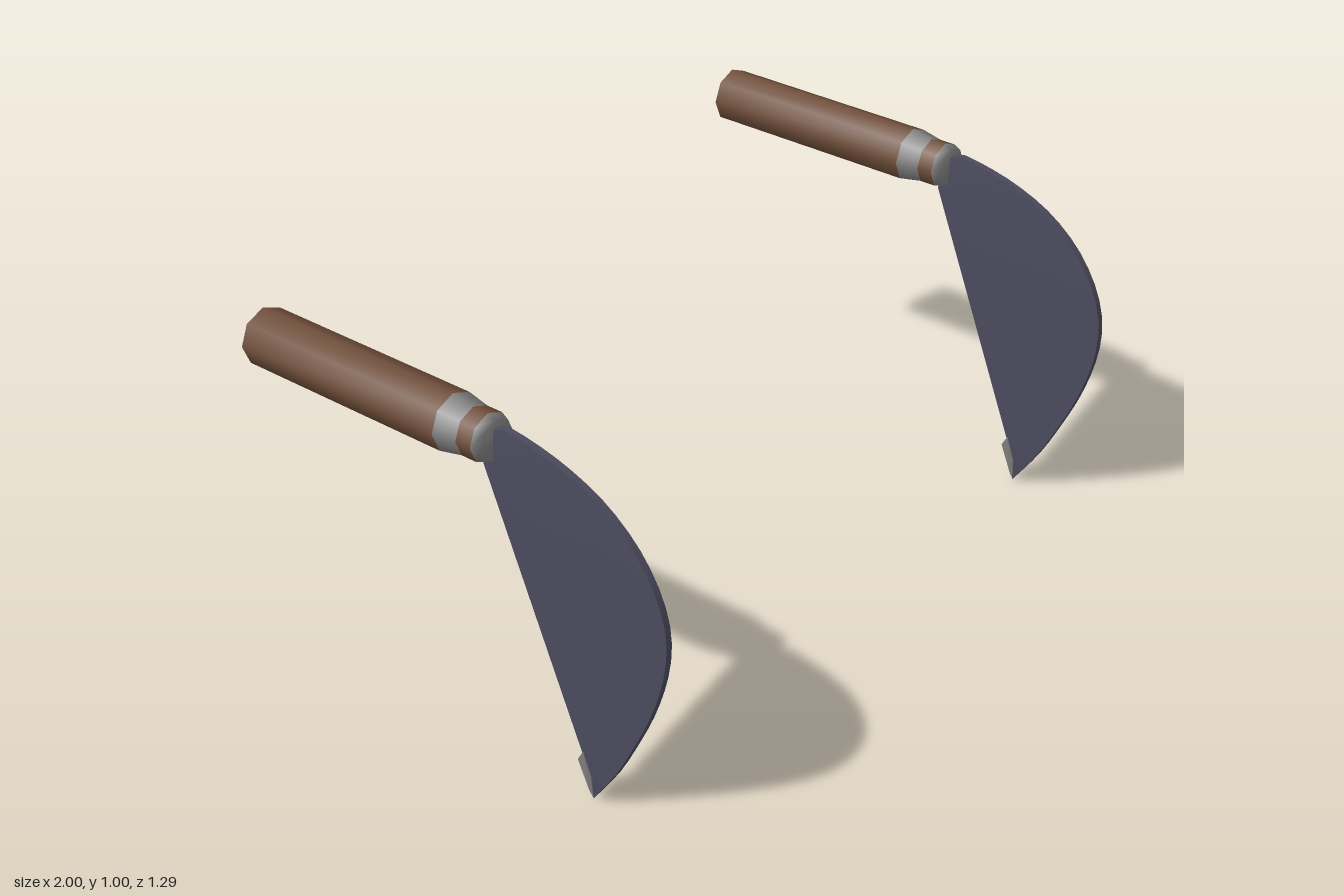
import * as THREE from 'three';
import { toCreasedNormals } from 'three/addons/utils/BufferGeometryUtils.js';

const wood = new THREE.MeshStandardMaterial({ color: 0x6f4e3a });
const steel = new THREE.MeshStandardMaterial({ color: 0x4b4b5e });
const grey = new THREE.MeshStandardMaterial({ color: 0x808080 });

const AXIS_Y = 0.92;

// Eight-sided turned part along z; profile is [radius, z] from back to front
function turned(name, profile, material) {
  const geo = new THREE.LatheGeometry(profile.map(([r, z]) => new THREE.Vector2(r, z)), 8);
  geo.rotateX(Math.PI / 2);
  geo.translate(0, AXIS_Y, 0);
  const mesh = new THREE.Mesh(geo, material);
  mesh.name = name;
  return mesh;
}

// Blade lofted between a straight inner edge and a curved outer edge, points as (z, y)
function bladeGeometry() {
  const outer = new THREE.SplineCurve([
    [0.125, 0.952], [0.16, 0.965], [0.25, 0.952], [0.35, 0.925], [0.45, 0.88],
    [0.535, 0.815], [0.595, 0.74], [0.633, 0.66], [0.648, 0.575], [0.637, 0.475],
    [0.602, 0.36], [0.553, 0.25], [0.485, 0.12], [0.404, 0.0],
  ].map(([z, y]) => new THREE.Vector2(z, y)));
  const innerTop = new THREE.Vector2(0.105, 0.855);
  const innerEnd = new THREE.Vector2(0.383, 0.13);
  const steps = 28;
  const rings = [];
  for (let j = 0; j <= steps; j++) {
    const t = j / steps;
    const o = outer.getPointAt(t);
    const i = innerTop.clone().lerp(innerEnd, t);
    const c = i.clone().lerp(o, 0.78 * Math.sqrt(1 - t ** 4)); // start of the rim bevel
    const wi = 0.018 - 0.007 * t;
    const wc = 0.013 - 0.002 * t;
    const wo = 0.0095 * Math.min(1, (1 - t) * 16 + 0.1);
    rings.push([
      [wi, i.y, i.x], [wc, c.y, c.x], [wo, o.y, o.x],
      [-wo, o.y, o.x], [-wc, c.y, c.x], [-wi, i.y, i.x],
    ]);
  }
  const pos = [];
  const tri = (a, b, c) => pos.push(...a, ...b, ...c);
  for (let j = 0; j < steps; j++) {
    for (let k = 0; k < 6; k++) {
      const n = (k + 1) % 6;
      const [a, b, c, d] = [rings[j][k], rings[j][n], rings[j + 1][n], rings[j + 1][k]];
      tri(a, b, c);
      tri(a, c, d);
    }
  }
  // End faces
  for (let k = 1; k < 5; k++) {
    tri(rings[0][0], rings[0][k + 1], rings[0][k]);
    tri(rings[steps][0], rings[steps][k], rings[steps][k + 1]);
  }
  const geo = new THREE.BufferGeometry();
  geo.setAttribute('position', new THREE.Float32BufferAttribute(pos, 3));
  return toCreasedNormals(geo, 0.5);
}

// Small bare-metal sliver at the point, narrowing to the very end
function tipGeometry() {
  const shape = new THREE.Shape([
    [0.384, 0.142], [0.366, 0.11], [0.396, 0.025], [0.404, 0.005], [0.407, 0.07],
  ].map(([z, y]) => new THREE.Vector2(z, y)));
  const geo = new THREE.ExtrudeGeometry(shape, { depth: 0.024, bevelEnabled: false });
  geo.translate(0, 0, -0.012);
  geo.rotateY(-Math.PI / 2);
  const p = geo.attributes.position;
  for (let i = 0; i < p.count; i++) {
    p.setX(i, p.getX(i) * Math.min(1, p.getY(i) / 0.05 + 0.1));
  }
  geo.computeVertexNormals();
  return geo;
}

function sickle(name) {
  const group = new THREE.Group();
  group.name = name;
  group.add(
    turned('handle', [[0, -0.645], [0.077, -0.645], [0.077, 0]], wood),
    turned('ferrule', [[0.077, 0], [0.065, 0.064]], grey),
    turned('neck', [[0.065, 0.064], [0.065, 0.11]], wood),
    turned('collar', [[0.065, 0.11], [0.055, 0.135], [0, 0.135]], grey),
  );
  const blade = new THREE.Mesh(bladeGeometry(), steel);
  blade.name = 'blade';
  const tip = new THREE.Mesh(tipGeometry(), grey);
  tip.name = 'bladeTip';
  group.add(blade, tip);
  return group;
}

export function createModel() {
  const model = new THREE.Group();
  model.name = 'sicklePair';
  for (const [name, side] of [['leftSickle', 1], ['rightSickle', -1]]) {
    const s = sickle(name);
    s.position.x = side * 0.923;
    model.add(s);
  }
  return model;
}
